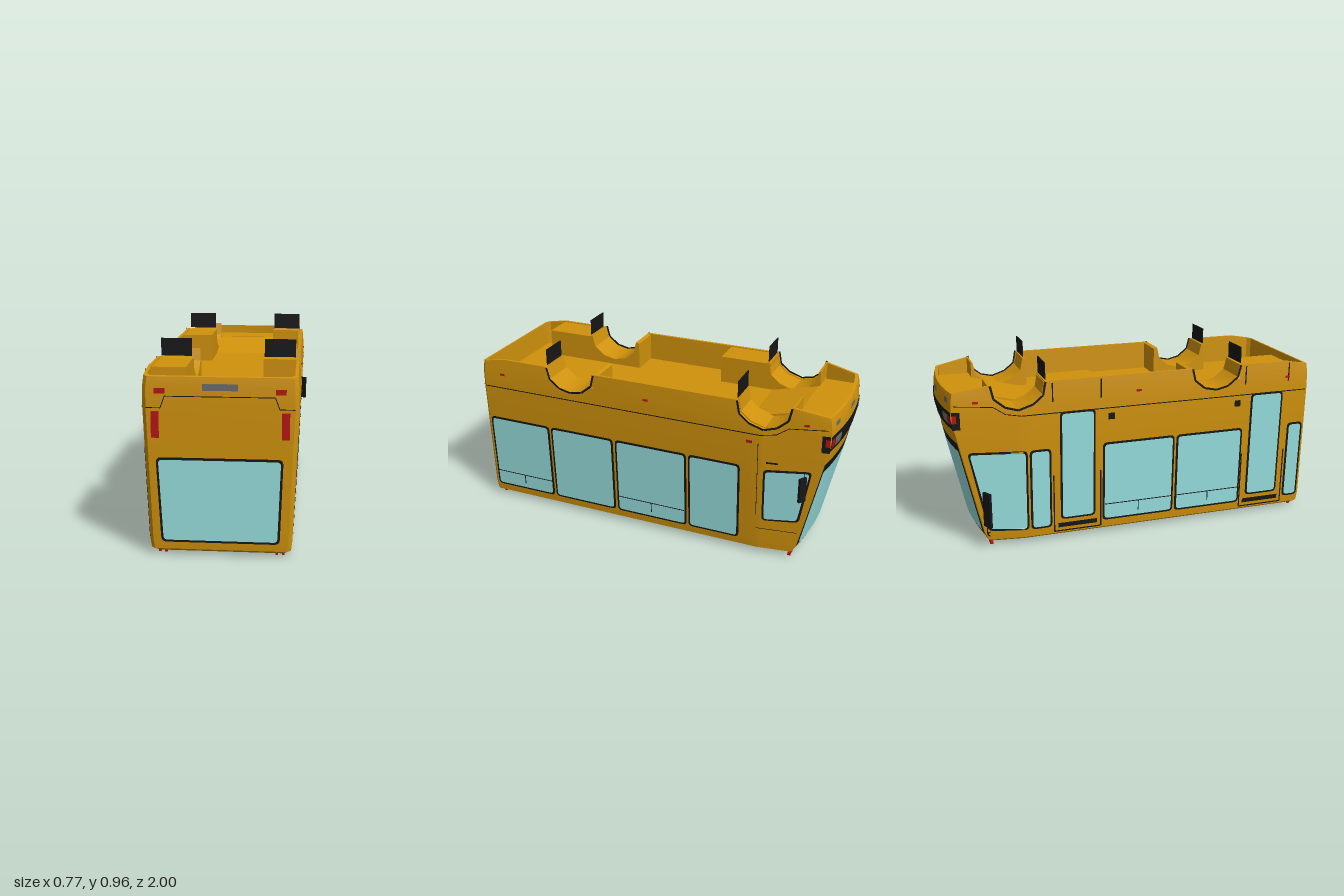
import * as THREE from 'three';
import { toCreasedNormals } from 'three/addons/utils/BufferGeometryUtils.js';

const mat = (color) => new THREE.MeshStandardMaterial({ color, side: THREE.DoubleSide });
const AMBER = mat(0xd0920c), BLACK = mat(0x161616), GLASS = mat(0x98e0df), RED = mat(0xb81414), GREY = mat(0x6c6c70);
const CX = 0.006, REAR = 0.994;

// piecewise linear lookup, keys ascending
function lerpTable(table, k) {
  if (k <= table[0][0]) return table[0][1];
  for (let i = 1; i < table.length; i++) {
    const [a, va] = table[i - 1], [b, vb] = table[i];
    if (k <= b) return va + (vb - va) * (k - a) / (b - a);
  }
  return table[table.length - 1][1];
}

// wheel cut-outs and the edge of the skirt, as [z, y]
const FRONT_ARCH = [[-0.77, 0.868], [-0.755, 0.8], [-0.7, 0.755], [-0.635, 0.738], [-0.56, 0.762], [-0.508, 0.805], [-0.495, 0.873]];
const REAR_ARCH = [[0.3, 0.873], [0.315, 0.81], [0.37, 0.765], [0.44, 0.75], [0.505, 0.765], [0.562, 0.81], [0.578, 0.873]];
const RIM = [[-0.98, 0.83], ...FRONT_ARCH, ...REAR_ARCH, [0.85, 0.873], [REAR, 0.847]];
const rim = (z) => lerpTable(RIM, z);
const NOSE = [[0.015, -0.825], [0.03, -0.835], [0.08, -0.855], [0.57, -0.965], [0.705, -0.996], [0.85, -0.99]];
const nose = (y) => lerpTable(NOSE, y);
const halfW = (y, z) => 0.33 + 0.026 * Math.min(1, (y - 0.03) / 0.67) - 0.148 * Math.max(0, -0.62 - z);

// one closed plan outline of the hull at height y
function ring(y, inset, followRim) {
  const corner = nose(y) + 0.03 + inset, pts = [];
  const zs = [0.975 - inset, 0.85, ...REAR_ARCH.map((p) => p[0]).reverse(), ...FRONT_ARCH.map((p) => p[0]).reverse(), -0.62]
    .sort((a, b) => b - a).map((z) => Math.max(z, corner + 0.006));
  const wf = halfW(y, corner) - inset;
  const side = [[halfW(y, 1) - 0.018 - inset, REAR - inset], ...zs.map((z) => [halfW(y, z) - inset, z])];
  side.forEach((p) => pts.push(p));
  for (let i = 0; i <= 12; i++) {
    const u = 1 - i / 6;
    pts.push([u * wf, nose(y) + 0.03 * u * u + inset]);
  }
  side.reverse().forEach(([x, z]) => pts.push([-x, z]));
  return pts.map(([x, z]) => [x + CX, followRim ? rim(z) : y, z]);
}

function hullGeometry() {
  const rings = [ring(0.015, 0.03), ring(0.032, 0.004), ring(0.08, 0), ring(0.57, 0), ring(0.705, 0), ring(0.8, 0.001).map(([x, y, z]) => [x, Math.min(y, rim(z) - 0.004), z]),
    ring(0.85, 0.007, true), ring(0.85, 0.022, true), ring(0.72, 0.024)];
  const n = rings[0].length, pos = [], idx = [];
  rings.forEach((r) => r.forEach((p) => pos.push(...p)));
  const roof = pos.length / 3, floor = roof + 1;
  pos.push(CX, 0.013, 0, CX, 0.72, 0);
  for (let j = 0; j < n; j++) {
    const k = (j + 1) % n, last = (rings.length - 1) * n;
    for (let i = 0; i < rings.length - 1; i++) {
      const a = i * n + j, b = i * n + k;
      idx.push(a, b, a + n, b, b + n, a + n);
    }
    idx.push(roof, k, j, floor, last + j, last + k);
  }
  const g = new THREE.BufferGeometry();
  g.setAttribute('position', new THREE.Float32BufferAttribute(pos, 3));
  g.setIndex(idx);
  return toCreasedNormals(g, 0.45);
}

// polygon with rounded corners
function roundedShape(pts, r) {
  const s = new THREE.Shape(), v = pts.map((p) => new THREE.Vector2(...p)), n = v.length;
  v.forEach((p, i) => {
    const a = v[(i + n - 1) % n].clone().sub(p).setLength(r).add(p);
    const b = v[(i + 1) % n].clone().sub(p).setLength(r).add(p);
    i ? s.lineTo(a.x, a.y) : s.moveTo(a.x, a.y);
    s.quadraticCurveTo(p.x, p.y, b.x, b.y);
  });
  s.closePath();
  return s;
}
const rect = (a0, a1, b0, b1) => [[a0, b0], [a1, b0], [a1, b1], [a0, b1]];
function shrink(pts, d) {
  const c = [0, 1].map((k) => pts.reduce((s, p) => s + p[k], 0) / pts.length);
  return pts.map((p) => p.map((q, k) => q + Math.sign(c[k] - q) * d));
}

export function createModel() {
  const group = new THREE.Group();
  const add = (name, geo, material, x = 0, y = 0, z = 0) => {
    const m = new THREE.Mesh(geo, material);
    m.name = name;
    m.position.set(x, y, z);
    group.add(m);
    return m;
  };
  const box = (name, x0, x1, y0, y1, z0, z1, material) =>
    add(name, new THREE.BoxGeometry(x1 - x0, y1 - y0, z1 - z0), material, (x0 + x1) / 2, (y0 + y1) / 2, (z0 + z1) / 2);

  // flat patches laid on the side wall (points are [z, y]) or on the flat end
  function patch(name, pts, side, material, off = 0.003, r = 0.0005) {
    const g = new THREE.ShapeGeometry(roundedShape(pts, r), 4), p = g.attributes.position;
    for (let i = 0; i < p.count; i++) {
      const a = p.getX(i), y = p.getY(i);
      if (side) p.setXYZ(i, CX + side * (halfW(y, a) + off), y, a);
      else p.setXYZ(i, a, y, REAR + off);
    }
    g.computeVertexNormals();
    return add(name, g, material);
  }
  function pane(name, pts, side) {
    patch(name + 'Frame', pts, side, BLACK, 0.002, 0.025);
    patch(name + 'Glass', shrink(pts, 0.011), side, GLASS, 0.005, 0.018);
  }
  function line(name, pts, side, w = 0.005, off = 0.0025) {
    for (let i = 1; i < pts.length; i++) {
      const [a, b] = [pts[i - 1], pts[i]], l = Math.hypot(b[0] - a[0], b[1] - a[1]);
      const dx = -(b[1] - a[1]) / l * w / 2, dy = (b[0] - a[0]) / l * w / 2;
      patch(name, [[a[0] + dx, a[1] + dy], [b[0] + dx, b[1] + dy], [b[0] - dx, b[1] - dy], [a[0] - dx, a[1] - dy]], side, BLACK, off);
    }
  }
  // curved patches on the nose; u runs -1..1 across its width
  function nosePatch(name, u0, u1, y0, y1, material, off) {
    const g = new THREE.PlaneGeometry(1, 1, 12, 4), p = g.attributes.position;
    for (let i = 0; i < p.count; i++) {
      const u = u0 + (u1 - u0) * (p.getX(i) + 0.5), y = y0 + (y1 - y0) * (p.getY(i) + 0.5);
      p.setXYZ(i, CX + u * halfW(y, nose(y) + 0.03), y, nose(y) + 0.03 * u * u - off);
    }
    g.computeVertexNormals();
    add(name, g, material);
  }

  add('hull', hullGeometry(), AMBER);

  // wheel housings with mud flaps
  [[FRONT_ARCH, 0.325, -0.78, -0.475, -0.49], [REAR_ARCH, 0.338, 0.28, 0.595, 0.588]].forEach(([arch, outer, z0, z1, flapZ]) => {
    const shape = new THREE.Shape([[z0, 0.715], [z1, 0.715], [z1, 0.868], ...[...arch].reverse(), [z0, 0.868]].map((p) => new THREE.Vector2(...p)));
    [1, -1].forEach((s) => {
      const g = new THREE.ExtrudeGeometry(shape, { depth: outer - 0.172, bevelEnabled: false }).rotateY(-Math.PI / 2);
      add('wheelHousing', toCreasedNormals(g, 0.5), AMBER, CX + (s > 0 ? outer : -0.172));
      line('archTrim', arch, s, 0.011, 0.002);
      const fx = CX + s * 0.254;
      box('mudFlap', fx - 0.076, fx + 0.076, 0.878, 0.965, flapZ - 0.002, flapZ + 0.002, BLACK);
    });
  });

  // underside: step wells, ramp and raised front floor
  box('frontStepWell', -0.335, -0.166, 0.715, 0.868, -0.5, -0.22, AMBER);
  box('rearStepWell', -0.335, -0.166, 0.715, 0.868, 0.58, 0.853, AMBER);
  box('frontFloor', -0.28, 0.292, 0.715, 0.785, -0.95, -0.77, AMBER);
  const ramp = new THREE.Shape([[-0.78, 0.715], [-0.5, 0.715], [-0.78, 0.785]].map((p) => new THREE.Vector2(...p)));
  add('floorRamp', new THREE.ExtrudeGeometry(ramp, { depth: 0.36, bevelEnabled: false }).rotateY(-Math.PI / 2), AMBER, CX + 0.18);

  // plain side: four windows and the cab door
  [[0.59, 0.965], [0.2, 0.58], [-0.225, 0.188], [-0.52, -0.235]].forEach(([a, b], i) => {
    pane('sideWindow', rect(a, b, 0.073, 0.518), 1);
    if (i % 2 === 0) {
      line('slidingPaneRail', [[a + 0.012, 0.167], [b - 0.012, 0.167]], 1, 0.005, 0.007);
      line('slidingPaneEdge', [[(a + b) / 2, 0.167], [(a + b) / 2, 0.11]], 1, 0.005, 0.007);
    }
  });
  pane('cabWindow', [[-0.642, 0.208], [-0.833, 0.222], [-0.885, 0.532], [-0.642, 0.513]], 1);
  line('cabDoorSeam', [[-0.612, 0.66], [-0.612, 0.24]], 1, 0.003);
  line('cabDoorSeam', [[-0.615, 0.157], [-0.825, 0.157]], 1, 0.003);
  line('cabDoorHandle', [[-0.655, 0.557], [-0.715, 0.557]], 1, 0.01, 0.005);
  patch('sideMarker', rect(-0.58, -0.55, 0.655, 0.67), 1, RED);

  // door side
  [[-0.195, 0.207], [0.217, 0.605]].forEach(([a, b]) => {
    pane('sideWindow', rect(a, b, 0.073, 0.518), -1);
    line('slidingPaneRail', [[a + 0.012, 0.167], [b - 0.012, 0.167]], -1, 0.005, 0.007);
    line('slidingPaneEdge', [[(a + b) / 2, 0.167], [(a + b) / 2, 0.11]], -1, 0.005, 0.007);
  });
  pane('rearSideWindow', rect(0.88, 0.973, 0.073, 0.518), -1);
  pane('slimWindow', rect(-0.585, -0.472, 0.073, 0.518), -1);
  pane('cabWindow', [[-0.595, 0.073], [-0.805, 0.085], [-0.895, 0.525], [-0.595, 0.518]], -1);
  [[-0.46, -0.205], [0.61, 0.868]].forEach(([a, b]) => {
    line('doorSeam', [[a, 0.865], [a, 0.045], [b, 0.045], [b, 0.865]], -1, 0.007);
    pane('doorWindow', rect(a + 0.035, b - 0.03, 0.11, 0.71), -1);
    patch('doorRail', rect(a + 0.02, b - 0.02, 0.065, 0.09), -1, BLACK);
  });
  [-0.15, 0.565].forEach((z) => patch('doorButton', rect(z - 0.017, z + 0.017, 0.645, 0.68), -1, BLACK, 0.005));

  // both sides: skirt seam, markers and wrap-round of the lamp band
  [1, -1].forEach((s) => {
    line('skirtSeam', [[0.975, 0.707], [-0.62, 0.707]], s);
    line('skirtSeam', [[-0.62, 0.707], [-0.7, 0.72], [-0.76, 0.76], [-0.95, 0.772]], s, 0.004);
    [0.86, 0, -0.845].forEach((z) => patch('sideMarker', rect(z - 0.014, z + 0.014, 0.781, 0.793), s, RED, 0.004));
    patch('lampBandSide', rect(-0.922, -0.962, 0.65, 0.742), s, BLACK, 0.005);
    patch('cornerLampSide', rect(-0.94, -0.962, 0.685, 0.725), s, RED, 0.007);
  });

  // nose: windscreen, lamp band and bumper
  nosePatch('windscreenSurround', -0.97, 0.97, 0.07, 0.575, BLACK, 0.002);
  nosePatch('windscreen', -0.94, 0.94, 0.085, 0.53, GLASS, 0.0045);
  nosePatch('lampBand', -1.01, 1.01, 0.65, 0.742, BLACK, 0.003);
  nosePatch('numberPlate', -0.14, 0.14, 0.785, 0.81, GREY, 0.003);
  [1, -1].forEach((s) => {
    nosePatch('headlamp', s * 0.62, s * 0.87, 0.675, 0.725, GREY, 0.005);
    nosePatch('cornerLamp', s * 0.89, s, 0.675, 0.725, RED, 0.005);
    nosePatch('fogLamp', s * 0.7, s * 0.87, 0.782, 0.808, GREY, 0.003);
  });

  // flat end: window, lamps and bumper
  pane('endWindow', [[-0.27, 0.068], [0.28, 0.068], [0.294, 0.475], [-0.29, 0.475]], 0);
  line('bumperSeam', [[-0.33, 0.706], [-0.265, 0.706], [-0.245, 0.76], [0.255, 0.76], [0.275, 0.706], [0.345, 0.706]], 0, 0.004);
  box('endPlate', -0.073, 0.088, 0.788, 0.818, 0.985, 0.998, GREY);
  [1, -1].forEach((s) => {
    const x = CX + s * 0.297, x2 = CX + s * 0.274;
    box('tailLamp', x - 0.018, x + 0.018, 0.567, 0.69, 0.985, 0.999, RED);
    box('reflector', x2 - 0.024, x2 + 0.024, 0.773, 0.797, 0.985, 1, RED);
    [0.95, -0.79].forEach((z) => [0.26, 0.29].forEach((d) =>
      box('roofMarker', CX + s * d - 0.006, CX + s * d + 0.006, 0.004, 0.02, z - 0.008, z + 0.008, RED)));
  });

  // roof hatch with sloped edges
  const hatch = new THREE.CylinderGeometry(Math.SQRT1_2, Math.SQRT1_2 * 0.8, 0.014, 4, 1).rotateY(Math.PI / 4).scale(0.29, 1, 0.17);
  add('roofHatch', toCreasedNormals(hatch, 0.3), AMBER, CX, 0.008, -0.1);

  // mirrors on their arms
  const rod = (pts) => add('mirrorArm', new THREE.TubeGeometry(new THREE.CatmullRomCurve3(pts.map((p) => new THREE.Vector3(...p))), 10, 0.003, 6), BLACK);
  add('largeMirror', new THREE.BoxGeometry(0.054, 0.185, 0.014), BLACK, -0.36, 0.228, -0.815).rotation.y = 0.5;
  rod([[-0.36, 0.15, -0.82], [-0.36, 0.1, -0.82], [-0.315, 0.062, -0.8]]);
  rod([[-0.36, 0.1, -0.82], [-0.335, 0.09, -0.81], [-0.315, 0.085, -0.8]]);
  add('smallMirror', new THREE.BoxGeometry(0.042, 0.133, 0.014), BLACK, 0.36, 0.446, -0.85).rotation.y = -0.6;
  rod([[0.35, 0.5, -0.855], [0.335, 0.52, -0.85], [0.31, 0.52, -0.84]]);
  return group;
}
